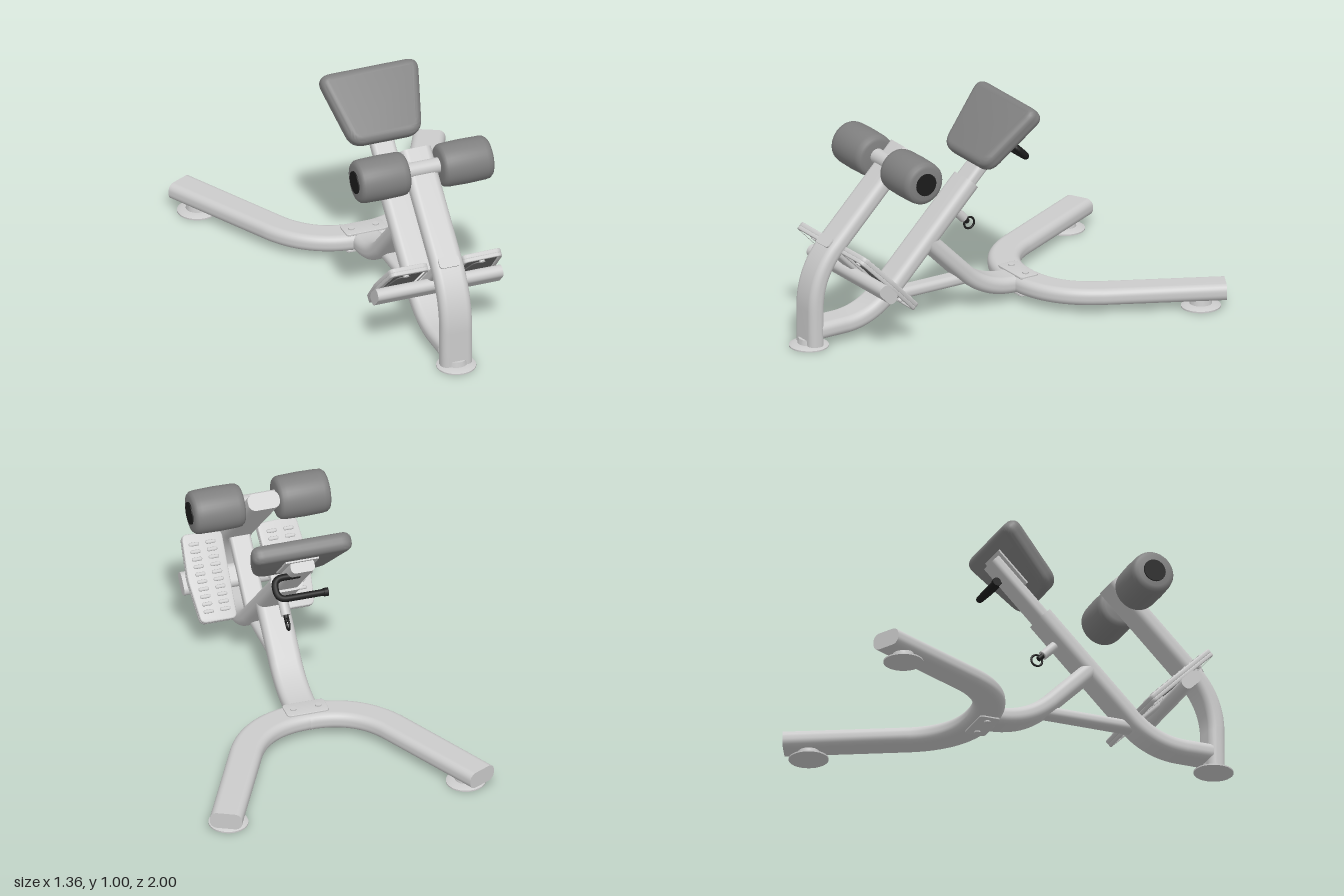
import * as THREE from 'three';
import { mergeVertices, toCreasedNormals } from 'three/addons/utils/BufferGeometryUtils.js';

const V = (x, y, z) => new THREE.Vector3(x, y, z);
const mat = (color) => new THREE.MeshStandardMaterial({ color });
const X = V(1, 0, 0), Y = V(0, 1, 0);

// Polyline with each inner corner rounded over distance d
function rounded(pts, d, steps = 14) {
  const out = [pts[0]];
  for (let i = 1; i < pts.length - 1; i++) {
    const a = pts[i].clone().add(pts[i - 1].clone().sub(pts[i]).setLength(d));
    const b = pts[i].clone().add(pts[i + 1].clone().sub(pts[i]).setLength(d));
    out.push(...new THREE.QuadraticBezierCurve3(a, pts[i], b).getPoints(steps));
  }
  out.push(pts[pts.length - 1]);
  return out.filter((p, i) => i === 0 || p.distanceTo(out[i - 1]) > 1e-4);
}

// Rounded-rectangle section (w along side, h across) swept along a planar path
function sweep(path, side, w, h, r) {
  const ring = [], n = 6, pos = [], idx = [];
  [[1, 1], [-1, 1], [-1, -1], [1, -1]].forEach(([sx, sy], q) => {
    for (let k = 0; k <= n; k++) {
      const a = (q + k / n) * Math.PI / 2;
      ring.push([sx * (w / 2 - r) + r * Math.cos(a), sy * (h / 2 - r) + r * Math.sin(a)]);
    }
  });
  const m = ring.length, last = path.length - 1;
  const addRing = (i) => {
    const t = path[Math.min(i + 1, last)].clone().sub(path[Math.max(i - 1, 0)]).normalize();
    const up = t.cross(side);
    for (const [a, b] of ring) {
      const p = path[i].clone().addScaledVector(side, a).addScaledVector(up, b);
      pos.push(p.x, p.y, p.z);
    }
  };
  for (let i = 0; i <= last; i++) addRing(i);
  for (let i = 0; i < last; i++) for (let j = 0; j < m; j++) {
    const k = (j + 1) % m, a = i * m + j, b = i * m + k;
    idx.push(a, b, a + m, b, b + m, a + m);
  }
  for (const i of [0, last]) {
    const s = pos.length / 3;
    addRing(i);
    for (let j = 1; j < m - 1; j++) idx.push(s, ...(i ? [s + j, s + j + 1] : [s + j + 1, s + j]));
  }
  const g = new THREE.BufferGeometry();
  g.setAttribute('position', new THREE.Float32BufferAttribute(pos, 3));
  g.setIndex(idx);
  g.computeVertexNormals();
  return g;
}

// Closed outline with rounded corners
function outline(pts, r, Kind = THREE.Shape) {
  const s = new Kind(), v = pts.map(([x, y]) => new THREE.Vector2(x, y));
  v.forEach((p, i) => {
    const q = v[(i + v.length - 1) % v.length], n = v[(i + 1) % v.length];
    const a = p.clone().add(q.clone().sub(p).setLength(r));
    const b = p.clone().add(n.clone().sub(p).setLength(r));
    if (i) s.lineTo(a.x, a.y); else s.moveTo(a.x, a.y);
    s.quadraticCurveTo(p.x, p.y, b.x, b.y);
  });
  s.closePath();
  return s;
}

// Extruded slab with softened edges, spanning z0 to z1
function slab(shape, z0, z1, bevel, segs = 3) {
  let g = new THREE.ExtrudeGeometry(shape, {
    depth: z1 - z0 - 2 * bevel, bevelEnabled: bevel > 0, bevelThickness: bevel, bevelSize: bevel,
    bevelOffset: -bevel, bevelSegments: segs, curveSegments: 8,
  });
  g.translate(0, 0, z0 + bevel);
  g.deleteAttribute('normal');
  g.deleteAttribute('uv');
  return toCreasedNormals(mergeVertices(g), 0.7);
}

export function createModel() {
  const model = new THREE.Group();
  const frame = mat(0xcccccc), cushion = mat(0x808080), black = mat(0x1c1c1c), dark = mat(0x6e6e6e);
  const add = (name, geo, material = frame, parent = model, p = [0, 0, 0]) => {
    const mesh = new THREE.Mesh(geo, material);
    mesh.name = name;
    mesh.position.set(...p);
    parent.add(mesh);
    return mesh;
  };
  const rod = (r, len, axis, sides = 28) => {
    const g = new THREE.CylinderGeometry(r, r, len, sides);
    if (axis === 'x') g.rotateZ(Math.PI / 2);
    if (axis === 'z') g.rotateX(Math.PI / 2);
    return g;
  };

  // Frame tubes
  add('frontPost', sweep(rounded([V(0, 0.012, 0.902), V(0, 0.355, 0.902), V(0, 0.862, 0.395)], 0.17), X, 0.152, 0.08, 0.033));
  add('inclineTube', sweep(rounded([V(0, 0.08, 0.88), V(0, 0.08, 0.6), V(0, 0.63, 0.05)], 0.15), X, 0.15, 0.08, 0.033));
  add('slidingTube', sweep([V(0, 0.58, 0.1), V(0, 0.87, -0.19)], X, 0.115, 0.058, 0.022));
  add('rearLeg', sweep(rounded([V(0, 0.39, 0.28), V(0, 0.08, -0.03), V(0, 0.08, -0.24)], 0.16), X, 0.15, 0.08, 0.033));
  add('lowerStrut', sweep([V(0, 0.155, 0.53), V(0, 0.155, 0.02)], X, 0.08, 0.052, 0.022));
  add('rearBase', sweep(rounded([V(-0.615, 0.08, -0.965), V(-0.247, 0.08, -0.24),
    V(0.247, 0.08, -0.24), V(0.615, 0.08, -0.965)], 0.2469, 20), Y, 0.08, 0.15, 0.033));

  // Bolted joint plates above and below the base
  for (const y of [0.122, 0.038]) {
    const plate = add('jointPlate', slab(outline([[-0.1, -0.05], [0.1, -0.05], [0.1, 0.05], [-0.1, 0.05]], 0.02), -0.005, 0.005, 0.002), frame, model, [0, y, -0.235]);
    plate.rotation.x = Math.PI / 2;
    for (const x of [-0.06, 0.06]) add('jointBolt', rod(0.015, 0.022, 'y', 12), frame, model, [x, y, -0.235]);
  }

  // Feet
  const footProfile = [[0, 0], [0.092, 0], [0.092, 0.007], [0.075, 0.015], [0.052, 0.017], [0.048, 0.045], [0, 0.045]];
  const footGeo = toCreasedNormals(new THREE.LatheGeometry(footProfile.map(([x, y]) => new THREE.Vector2(x, y)), 32), 0.5);
  const frontFoot = add('frontFoot', footGeo, frame, model, [0, 0, 0.908]);
  frontFoot.scale.y = 0.9;
  for (const s of [-1, 1]) add('rearFoot', footGeo, frame, model, [s * 0.57, 0, -0.86]);

  // Leg rollers on a cross axle
  add('rollerAxle', rod(0.036, 0.2, 'x'), frame, model, [0, 0.812, 0.482]);
  const rollerPts = [[0, 0], [0.075, 0], [0.09, 0.004], [0.099, 0.015], [0.102, 0.035], [0.104, 0.122],
    [0.102, 0.21], [0.099, 0.23], [0.09, 0.241], [0.075, 0.245], [0, 0.245]];
  const rollerGeo = toCreasedNormals(new THREE.LatheGeometry(rollerPts.map(([x, y]) => new THREE.Vector2(x, y)), 40), 0.7);
  for (const s of [-1, 1]) {
    add('legRoller', rollerGeo, cushion, model, [s * 0.082, 0.806, 0.482]).rotation.z = -s * Math.PI / 2;
    add('rollerEndCap', rod(0.053, 0.012, 'x'), black, model, [s * 0.327, 0.806, 0.482]);
  }

  // Hip pad with its mount and handle; local z points out of the pad face
  const seat = new THREE.Group();
  seat.name = 'hipPadAssembly';
  seat.position.set(0, 0.855, -0.075);
  seat.rotation.x = -Math.PI / 4;
  model.add(seat);
  add('hipPad', slab(outline([[-0.17, -0.178], [0.17, -0.178], [0.25, 0.178], [-0.25, 0.178]], 0.065), -0.043, 0.043, 0.034, 7), cushion, seat);
  add('padMount', new THREE.BoxGeometry(0.16, 0.2, 0.012), frame, seat, [0, 0.01, -0.045]);
  const hook = new THREE.CurvePath();
  const hookPts = rounded([V(0, 0, -0.09), V(0.125, 0, -0.09), V(0.125, 0, -0.19), V(-0.1, 0, -0.19)], 0.045, 8);
  for (let i = 1; i < hookPts.length; i++) hook.add(new THREE.LineCurve3(hookPts[i - 1], hookPts[i]));
  add('handle', new THREE.TubeGeometry(hook, 70, 0.016, 12), black, seat);
  add('handleEnd', rod(0.02, 0.02, 'x', 16), black, seat, [-0.105, 0, -0.19]);

  // Spring pin with pull ring under the incline
  const pin = new THREE.Group();
  pin.name = 'adjustmentPin';
  pin.position.set(0, 0.5, 0.12);
  pin.rotation.x = -Math.PI / 4;
  model.add(pin);
  add('pinSleeve', rod(0.022, 0.1, 'z'), frame, pin, [0, 0, -0.03]);
  add('pinTip', rod(0.012, 0.04, 'z', 16), black, pin, [0, 0, -0.09]);
  add('pullRing', new THREE.TorusGeometry(0.027, 0.005, 10, 32).rotateY(Math.PI / 2), black, pin, [0, 0, -0.122]);

  // Foot plates; local y runs up the plate, local z faces forward and down
  const feet = new THREE.Group();
  feet.name = 'footPlateAssembly';
  feet.position.set(0, 0.33, 0.64);
  feet.rotation.x = Math.PI / 4;
  model.add(feet);
  add('plateBeam', sweep([V(0, -0.22, 0.01), V(0, 0.25, 0.01)], X, 0.1, 0.05, 0.015), frame, feet);
  add('plateCrossbar', sweep([V(-0.308, 0, 0.045), V(0.308, 0, 0.045)], Y, 0.11, 0.06, 0.028), frame, feet);
  const edge = [[0.1, -0.21], [0.272, -0.21], [0.291, 0], [0.274, 0.212], [0.084, 0.205]];
  const stud = new THREE.CapsuleGeometry(0.009, 0.032, 4, 10).rotateZ(Math.PI / 2).scale(1, 1, 0.7);
  for (const s of [-1, 1]) {
    const at = (k) => edge.map(([x, y]) => [s * (0.187 + (x - 0.187) * k), y * (0.5 + k / 2)]);
    const rim = outline(at(1), 0.028);
    rim.holes.push(outline(at(0.86), 0.022, THREE.Path));
    add('footPlate', slab(outline(at(1), 0.028), -0.02, 0.003, 0.005), frame, feet);
    add('footPlateRim', slab(rim, 0, 0.018, 0.003), frame, feet);
    add('footPlateInset', slab(outline(at(0.86), 0.022), 0.002, 0.007, 0), dark, feet);
    const gusset = [[-0.075, -0.06], [0.075, -0.06], [0.03, 0.13], [-0.03, 0.13]].map(([x, y]) => [s * 0.187 + x, y]);
    add('footPlateGusset', slab(outline(gusset, 0.025), 0.006, 0.012, 0.002), dark, feet);
    for (const y of [-0.165, 0.155]) add('plateBolt', rod(0.013, 0.014, 'z', 14), frame, feet, [s * 0.187, y, 0.012]);
    for (const dx of [-0.04, 0.04]) for (let i = 0; i < 10; i++) {
      add('gripStud', stud, frame, feet, [s * 0.187 + dx, -0.16 + i * 0.0355, -0.02]);
    }
  }
  return model;
}
